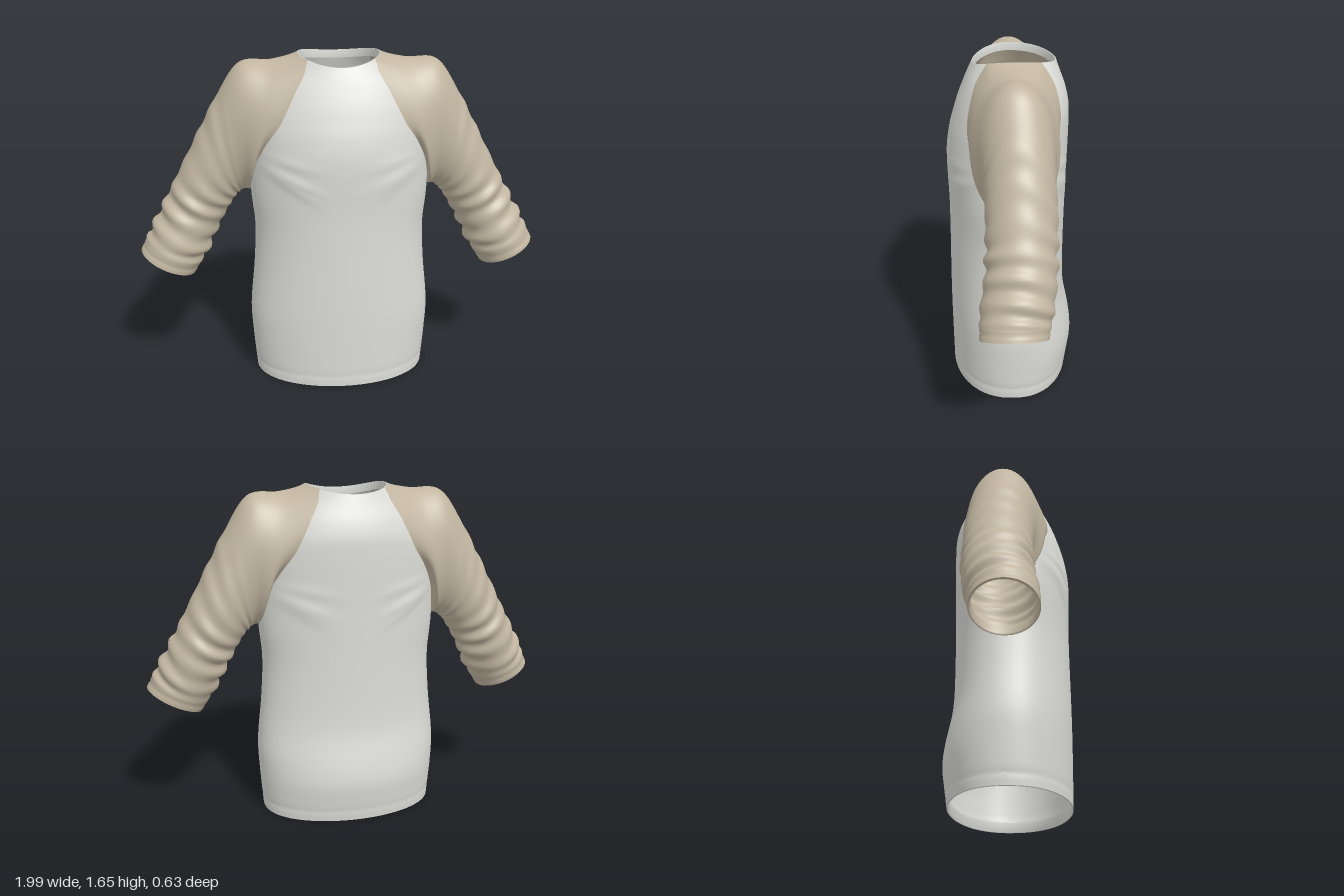
import * as THREE from 'three';
import { mergeVertices } from 'three/addons/utils/BufferGeometryUtils.js';

const V = (x, y, z) => new THREE.Vector3(x, y, z);
const rad = Math.PI / 180;
const ARMPIT = 0.98, NECK = 1.655;

// Smooth curve through [key, value] pairs
function table(pts) {
  const slope = (i) => {
    const a = pts[Math.max(i - 1, 0)], b = pts[Math.min(i + 1, pts.length - 1)];
    return (b[1] - a[1]) / (b[0] - a[0]);
  };
  return (k) => {
    k = Math.min(Math.max(k, pts[0][0]), pts[pts.length - 1][0]);
    let i = 0;
    while (i < pts.length - 2 && k > pts[i + 1][0]) i++;
    const h = pts[i + 1][0] - pts[i][0], t = (k - pts[i][0]) / h, t2 = t * t, t3 = t2 * t;
    return pts[i][1] * (2 * t3 - 3 * t2 + 1) + slope(i) * h * (t3 - 2 * t2 + t)
      + pts[i + 1][1] * (3 * t2 - 2 * t3) + slope(i + 1) * h * (t3 - t2);
  };
}

// Body profiles by height: half width, front depth, back depth, seam angle
const halfWidth = table([[0, 0.44], [0.2, 0.455], [0.35, 0.46], [0.6, 0.435], [0.8, 0.425], [0.98, 0.44],
  [1.15, 0.437], [1.38, 0.42], [1.5, 0.36], [1.56, 0.31], [1.61, 0.245], [NECK, 0.197]]);
const frontZ = table([[0, 0.305], [0.4, 0.31], [0.9, 0.307], [1.18, 0.314], [1.3, 0.298], [1.4, 0.27],
  [1.5, 0.24], [1.6, 0.208], [NECK, 0.185]]);
const backZ = table([[0, 0.288], [0.1, 0.302], [0.2, 0.314], [0.3, 0.302], [0.45, 0.272], [0.6, 0.264],
  [1, 0.268], [1.4, 0.277], [1.5, 0.262], [1.6, 0.232], [NECK, 0.213]]);
const seamAngle = table([[0.98, 90], [1.05, 80], [1.15, 70], [1.25, 57], [1.38, 42], [1.55, 39], [1.6, 43], [NECK, 53]]);
const seam = (Y) => (Y <= ARMPIT ? 90 : seamAngle(Y)) * rad;

// Soft creases running from the armpits towards the chest
function crease(x, y) {
  const ax = Math.abs(x);
  let d = 0;
  for (const [y0, k, a] of [[1.0, 0.42, 0.011], [0.93, 0.55, 0.008], [1.13, 0.2, 0.007]]) {
    const off = (y - (y0 + k * ax)) / 0.025;
    d += a * Math.exp(-off * off) * Math.exp(-(((ax - 0.27) / 0.13) ** 2));
  }
  return d;
}

// Point on the body surface; side is +1 for front and -1 for back
function body(Y, phi, side) {
  const c = Math.max(0, Math.cos(phi)), x = halfWidth(Y) * Math.sin(phi);
  const dip = (side > 0 ? 0.04 : 0.03) * c * c * THREE.MathUtils.smoothstep(Y, 1.4, NECK);
  const stitch = Math.abs(Y - 0.055) < 0.004 ? 0.99 : 1;
  const z = (side > 0 ? frontZ(Y) : backZ(Y)) * Math.pow(c, 0.9) + crease(x, Y) * c;
  return V(x * stitch, Y - dip, side * z * stitch);
}

// Full loop around the body at one height
function bodyLoop(Y, scale = 1, dy = 0) {
  return Array.from({ length: 73 }, (_, j) => {
    const a = j * 5 * rad - Math.PI / 2;
    const p = j <= 36 ? body(Y, a, 1) : body(Y, Math.PI - a, -1);
    return V(p.x * scale, p.y + dy, p.z * scale);
  });
}

// Surface through rows of points
function grid(rows, flip = false) {
  const n = rows[0].length, pos = [], idx = [];
  rows.forEach((r) => r.forEach((p) => pos.push(p.x, p.y, p.z)));
  for (let i = 0; i < rows.length - 1; i++) {
    for (let j = 0; j < n - 1; j++) {
      const a = i * n + j, b = a + 1, c = a + n, d = c + 1;
      if (flip) idx.push(a, c, b, b, c, d);
      else idx.push(a, b, c, b, d, c);
    }
  }
  return { pos, idx };
}

function surface(...grids) {
  const pos = [], idx = [];
  for (const g of grids) {
    const o = pos.length / 3;
    g.idx.forEach((i) => idx.push(i + o));
    g.pos.forEach((v) => pos.push(v));
  }
  let geo = new THREE.BufferGeometry();
  geo.setAttribute('position', new THREE.Float32BufferAttribute(pos, 3));
  geo.setIndex(idx);
  geo = mergeVertices(geo, 1e-5);
  geo.computeVertexNormals();
  return geo;
}

// Sleeve stations: top x, y, bottom x, y, front z, back z
const stations = [
  [0.32, 1.625, 0.452, 0.988, 0.2, -0.205],
  [0.47, 1.615, 0.465, 0.987, 0.165, -0.18],
  [0.585, 1.46, 0.482, 0.98, 0.145, -0.175],
  [0.69, 1.27, 0.51, 0.958, 0.14, -0.178],
  [0.795, 1.07, 0.548, 0.9, 0.14, -0.175],
  [0.87, 0.93, 0.605, 0.8, 0.147, -0.17],
  [0.945, 0.79, 0.668, 0.67, 0.17, -0.152],
  [0.997, 0.69, 0.735, 0.56, 0.175, -0.128],
];

// One lengthwise curve of the sleeve, from the raglan seam to the cuff
function sleeveCurve(s, side) {
  const th = Math.PI / 2 - Math.PI * s, neckEnd = 0.14;
  let start, before;
  if (s < neckEnd) {
    const phi = THREE.MathUtils.lerp(Math.PI / 2, seam(NECK), s / neckEnd);
    start = body(NECK, phi, side);
    before = start.clone().add(V(-0.04, 0.04, 0));
  } else {
    const t = (Math.sin(th) + 1) / (Math.sin(Math.PI * (0.5 - neckEnd)) + 1);
    const Y = ARMPIT + t * (NECK - ARMPIT);
    start = body(Y, seam(Y), side);
    before = body(Y, seam(Y) * 0.8, side).lerp(start.clone().add(V(0, -0.1, 0)), s ** 5);
  }
  const pts = stations.map(([tx, ty, bx, by, zf, zb]) => {
    const k = (1 + Math.sin(th)) / 2, mid = (zf + zb) / 2;
    return V(bx + (tx - bx) * k, by + (ty - by) * k, mid + side * Math.cos(th) * (zf - zb) / 2);
  });
  return new THREE.CatmullRomCurve3([before, start, ...pts]);
}

function sleeveRows() {
  const cols = 36, steps = 90, curves = [];
  for (let j = 0; j <= cols; j++) curves.push([sleeveCurve(j / cols, 1), j / cols, 1]);
  for (let j = cols - 1; j >= 0; j--) curves.push([sleeveCurve(j / cols, -1), j / cols, -1]);
  const rows = [];
  for (let i = 0; i <= steps; i++) {
    const r = i / steps, segs = stations.length + 1;
    const row = curves.map(([c]) => c.getPoint((1 + r * (segs - 1)) / segs));
    const centre = row.reduce((a, p) => a.add(p), V(0, 0, 0)).divideScalar(row.length);
    // Bunched folds, strongest just above the cuff
    const amp = 0.004 * THREE.MathUtils.smoothstep(r, 0.3, 0.45) + 0.006 * THREE.MathUtils.smoothstep(r, 0.55, 0.72);
    const fade = 1 - THREE.MathUtils.smoothstep(r, 0.9, 0.95);
    row.forEach((p, j) => {
      const [, s, side] = curves[j], a = side * s * Math.PI;
      const wave = Math.sin(r * 75 + 1.3 * Math.sin(a + 0.6) + 0.8 * Math.cos(2 * a)) * (0.75 + 0.4 * Math.sin(a * 2 + r * 17));
      const stitch = i === steps - 3 ? -0.004 : 0;
      p.addScaledVector(p.clone().sub(centre).normalize(), wave * amp * fade + stitch);
    });
    rows.push(row);
  }
  return rows;
}

export function createModel() {
  const group = new THREE.Group();
  const material = (name, color) => {
    const m = new THREE.MeshStandardMaterial({ color, side: THREE.DoubleSide });
    m.name = name;
    return m;
  };
  const white = material('off-white cloth', 0xdcddd8);
  const tan = material('tan cloth', 0xc2b6a1);
  const add = (name, geo, mat) => {
    const mesh = new THREE.Mesh(geo, mat);
    mesh.name = name;
    group.add(mesh);
  };

  // Body: front and back panels joined below the armpits
  const heights = [0, 0.02, 0.045, 0.055, 0.065];
  for (let i = 1; i <= 26; i++) heights.push(0.065 + (ARMPIT - 0.065) * i / 26);
  for (let i = 1; i <= 44; i++) heights.push(ARMPIT + (NECK - ARMPIT) * i / 44);
  const panel = (side) => grid(heights.map((Y) =>
    Array.from({ length: 49 }, (_, j) => body(Y, (j / 24 - 1) * seam(Y), side))), side < 0);
  add('body', surface(panel(1), panel(-1)), white);

  // Turned-in edges at the hem and neck
  add('hemLining', surface(grid([bodyLoop(0), bodyLoop(0, 0.97), bodyLoop(0, 0.97, 0.05)], true)), white);
  add('neckLining', surface(grid([bodyLoop(NECK), bodyLoop(NECK, 0.965), bodyLoop(NECK, 0.975, -0.04)])), white);

  // Sleeves with turned-in cuffs
  const rows = sleeveRows(), edge = rows[rows.length - 1];
  const centre = edge.reduce((a, p) => a.add(p), V(0, 0, 0)).divideScalar(edge.length);
  const inner = edge.map((p) => p.clone().lerp(centre, 0.07));
  const deep = inner.map((p) => p.clone().add(V(-0.022, 0.045, 0)));
  for (const [label, m] of [['left', 1], ['right', -1]]) {
    const mirror = (rs) => rs.map((r) => r.map((p) => V(p.x * m, p.y, p.z)));
    add(label + 'Sleeve', surface(grid(mirror(rows), m < 0)), tan);
    add(label + 'CuffLining', surface(grid(mirror([edge, inner, deep]), m < 0)), tan);
  }
  return group;
}
